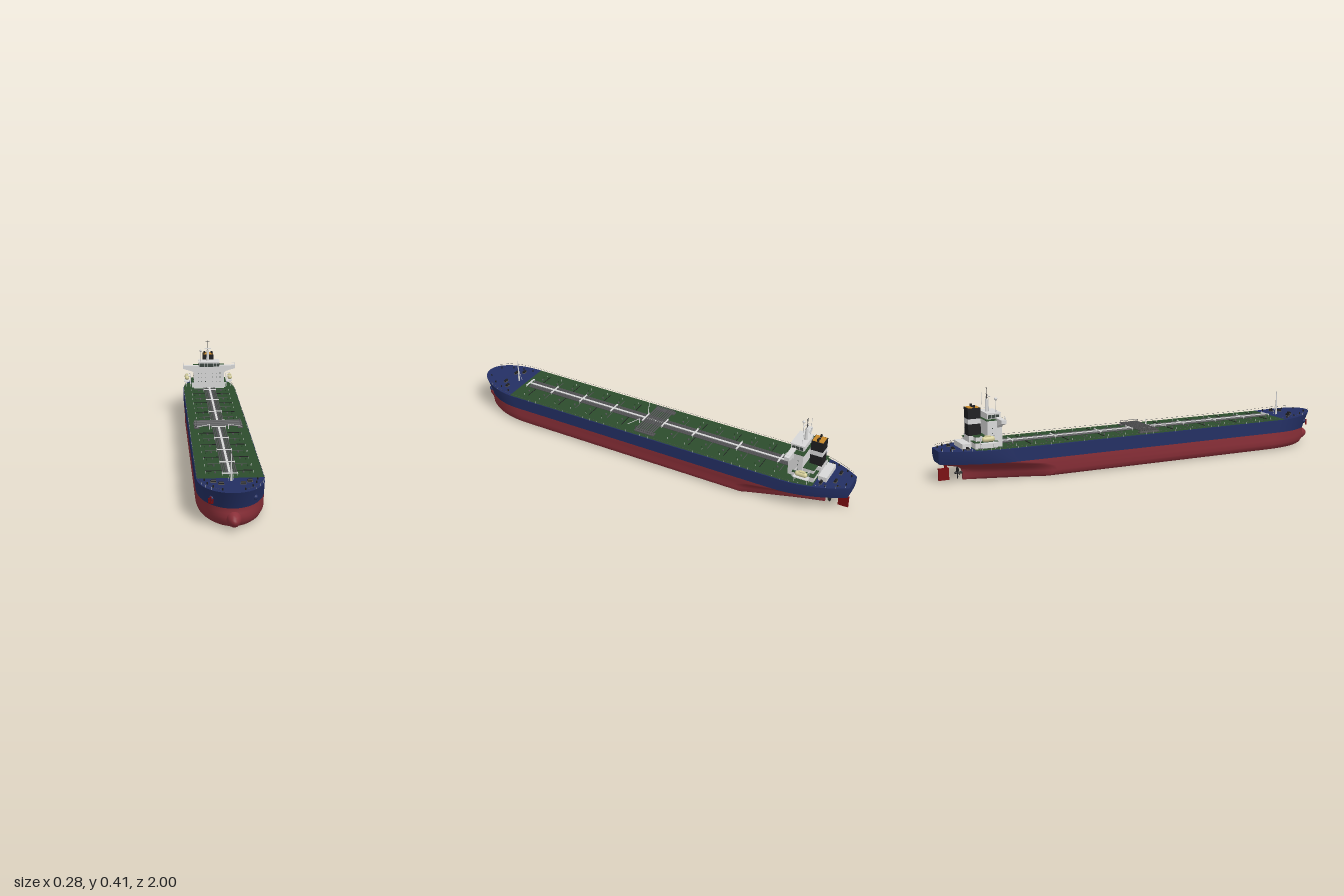
import * as THREE from 'three';
import { toCreasedNormals } from 'three/addons/utils/BufferGeometryUtils.js';

const mat = (name, color, side = THREE.FrontSide) => {
  const m = new THREE.MeshStandardMaterial({ color, side });
  m.name = name;
  return m;
};

export function createModel() {
  const ship = new THREE.Group();
  ship.name = 'tankerShip';
  const blue = mat('hullBlue', 0x232f63), red = mat('bottomRed', 0x8a2f38), green = mat('deckGreen', 0x2c4c2c);
  const white = mat('houseWhite', 0xd8d8d8), grey = mat('pipeGrey', 0x545456), black = mat('funnelBlack', 0x1e1e20);
  const cream = mat('boatCream', 0xd6cf9a), orange = mat('funnelOrange', 0xc98a2b);
  const rudderRed = mat('rudderRed', 0x7a0c10), glass = mat('windowGlass', 0x39443f);

  const add = (name, geo, m, parent = ship) => {
    const mesh = new THREE.Mesh(geo, m);
    mesh.name = name;
    parent.add(mesh);
    return mesh;
  };
  const group = (name) => { const g = new THREE.Group(); g.name = name; ship.add(g); return g; };
  // box given by its ranges in x, y and z
  const box = (name, m, x0, x1, y0, y1, z0, z1, parent) => {
    const b = add(name, new THREE.BoxGeometry(x1 - x0, y1 - y0, z1 - z0), m, parent);
    b.position.set((x0 + x1) / 2, (y0 + y1) / 2, (z0 + z1) / 2);
    return b;
  };
  // round bar between two points
  const rod = (name, m, a, b, r, parent, r2 = r, sides = 6) => {
    const p = new THREE.Vector3(...a), q = new THREE.Vector3(...b), d = q.clone().sub(p);
    const mesh = add(name, new THREE.CylinderGeometry(r2, r, d.length(), sides), m, parent);
    mesh.position.copy(p).add(q).multiplyScalar(0.5);
    mesh.quaternion.setFromUnitVectors(new THREE.Vector3(0, 1, 0), d.normalize());
    return mesh;
  };
  const ball = (name, m, r, x, y, z, parent, s = [1, 1, 1]) => {
    const b = add(name, new THREE.SphereGeometry(r, 20, 14), m, parent);
    b.position.set(x, y, z);
    b.scale.set(...s);
    return b;
  };

  // Waterlines: height, half beam, bow end, bow length, stern end, run length, run power, stern half width
  const level = (y, half, bow, entry, stern, run, power, end) => ({ y, half, bow, entry, stern, run, power, end });
  const bottom = [
    level(0, 0.112, 0.92, 0.27, -0.88, 0.36, 0.9, 0.003),
    level(0.004, 0.127, 0.933, 0.265, -0.88, 0.37, 0.95, 0.004),
    level(0.012, 0.136, 0.945, 0.26, -0.88, 0.38, 1, 0.005),
    level(0.03, 0.142, 0.957, 0.255, -0.88, 0.4, 1.1, 0.006),
    level(0.05, 0.142, 0.96, 0.25, -0.885, 0.4, 1.3, 0.008),
    level(0.066, 0.142, 0.958, 0.24, -0.91, 0.38, 1.6, 0.018),
    level(0.078, 0.142, 0.956, 0.23, -0.96, 0.36, 1.9, 0.032),
    level(0.088, 0.142, 0.957, 0.23, -0.995, 0.34, 2.1, 0.042)];
  const top = level(0.148, 0.142, 0.993, 0.24, -1, 0.31, 2.2, 0.05);
  const sides = [bottom[7], level(0.115, 0.142, 0.968, 0.23, -1, 0.32, 2.2, 0.047), top];
  const halfAt = (l, z) => {
    const s = (l.stern + l.run - z) / l.run, b = (z - l.bow + l.entry) / l.entry;
    if (s > 0) return l.end + (l.half - l.end) * (1 - Math.min(s, 1) ** l.power);
    return b > 0 ? l.half * Math.sqrt(Math.max(0, 1 - b * b)) : l.half;
  };
  const deckY = (z) => 0.148 + 0.018 * Math.max(0, (z - 0.7) / 0.29) ** 1.5;
  const n = 18;
  const outline = (l) => {
    const zs = [];
    for (let i = 0; i <= n; i++) zs.push(l.stern + l.run * i / n);
    for (let i = 0; i <= n; i++) zs.push(l.bow - l.entry + l.entry * Math.sin(i / n * Math.PI / 2));
    const port = zs.map((z) => [halfAt(l, z), l === top ? deckY(z) : l.y, z]);
    return [...port, ...port.map(([x, y, z]) => [-x, y, z]).reverse()];
  };
  const loft = (levels, capTop, capBottom) => {
    const loops = levels.map(outline), c = loops[0].length, index = [];
    for (let j = 0; j + 1 < loops.length; j++) for (let i = 0; i < c; i++) {
      const a = j * c + i, b = j * c + (i + 1) % c;
      index.push(a, a + c, b + c, a, b + c, b);
    }
    const cap = (base, up) => {
      for (let i = 0; i + 1 < c / 2; i++) {
        const p = base + i, q = base + c - 1 - i;
        if (up) index.push(q, q - 1, p + 1, q, p + 1, p);
        else index.push(q, p + 1, q - 1, q, p, p + 1);
      }
    };
    if (capTop) cap((loops.length - 1) * c, true);
    if (capBottom) cap(0, false);
    const g = new THREE.BufferGeometry();
    g.setAttribute('position', new THREE.Float32BufferAttribute(loops.flat(2), 3));
    g.setIndex(index);
    return toCreasedNormals(g, 0.7);
  };
  add('hullBottom', loft(bottom, false, true), red);
  add('hullSides', loft(sides, true, false), blue);
  ball('bulbousBow', red, 1, 0, 0.041, 0.9, ship, [0.036, 0.04, 0.1]);

  // Green main deck
  const edge = [];
  for (let i = 0; i <= 40; i++) { const z = -0.85 + 1.62 * i / 40; edge.push([halfAt(top, z) - 0.002, z]); }
  const deckShape = new THREE.Shape([...edge.map(([x, z]) => new THREE.Vector2(x, -z)),
    ...edge.map(([x, z]) => new THREE.Vector2(-x, -z)).reverse()]);
  add('mainDeck', new THREE.ShapeGeometry(deckShape).rotateX(-Math.PI / 2), green).position.y = 0.1508;

  // Railings along both sides
  const rails = group('railings');
  for (const s of [-1, 1]) for (let i = 0; i < 49; i++) {
    const at = (k) => { const z = -0.985 + k * 0.04; return [s * (halfAt(top, z) - 0.003), deckY(z), z]; };
    const [x, y, z] = at(i), e = at(i + 1);
    rod('railPost', white, [x, y, z], [x, y + 0.011, z], 0.0006, rails, 0.0006, 4);
    rod('handRail', grey, [x, y + 0.011, z], [e[0], e[1] + 0.011, e[2]], 0.0005, rails, 0.0005, 4);
  }

  // Pipes, catwalk and deck stiffeners
  const pipes = group('deckPipes');
  for (const x of [-0.029, -0.022, -0.015, 0.015, 0.022, 0.029]) rod('longPipe', grey, [x, 0.157, -0.7], [x, 0.157, 0.73], 0.0028, pipes);
  box('catwalk', white, -0.005, 0.005, 0.158, 0.161, -0.71, 0.74, pipes);
  box('pipeBed', grey, -0.012, 0.012, 0.151, 0.157, -0.7, 0.73, pipes);
  for (const z of [-0.65, -0.44, -0.21, -0.045, 0.06, 0.24, 0.42, 0.59, 0.74]) {
    box('catwalkCrossing', white, -0.034, 0.034, 0.16, 0.163, z - 0.004, z + 0.004, pipes);
    for (const x of [-0.033, 0.033]) rod('crossingLeg', white, [x, 0.15, z], [x, 0.168, z], 0.0012, pipes);
  }
  for (let i = 0; i < 16; i++) {
    const z = -0.68 + i * 0.091;
    if (Math.abs(z) < 0.07) continue;
    for (const s of [-1, 1]) {
      rod('branchPipe', i % 2 ? black : grey, [s * 0.03, 0.154, z], [s * (i % 2 ? 0.1 : 0.085), 0.154, z], 0.0017, pipes);
      rod('tankHatch', grey, [s * 0.06, 0.15, z + 0.02], [s * 0.06, 0.157, z + 0.02], 0.004, pipes, 0.004, 10);
      rod('ventPost', white, [s * 0.1, 0.15, z + 0.02], [s * 0.1, 0.16, z + 0.02], 0.0013, pipes);
      rod('valve', green, [s * 0.085, 0.15, z + 0.03], [s * 0.085, 0.158, z + 0.03], 0.0025, pipes);
    }
  }

  // Cargo manifold amidships
  const manifold = group('cargoManifold');
  for (let i = 0; i < 9; i++) {
    const z = -0.036 + i * 0.011;
    rod('crossPipe', grey, [-0.114, 0.163, z], [0.114, 0.163, z], 0.0034, manifold, 0.0034, 8);
  }
  for (const s of [-1, 1]) {
    const x = s * 0.105;
    box('dripTray', grey, x - 0.012, x + 0.012, 0.151, 0.156, -0.045, 0.06, manifold);
    for (const z of [-0.04, 0.058]) rod('manifoldPost', grey, [x, 0.15, z], [x, 0.174, z], 0.0015, manifold);
    rod('manifoldRail', grey, [x, 0.174, -0.04], [x, 0.174, 0.058], 0.0012, manifold);
    rod('cranePost', white, [s * 0.045, 0.15, 0.07], [s * 0.045, 0.176, 0.07], 0.003, manifold);
    rod('craneBoom', white, [s * 0.045, 0.175, 0.07], [s * 0.108, 0.172, 0.1], 0.0016, manifold);
  }

  // Accommodation with bridge wings
  const house = group('accommodation');
  const half = [[0.082, 0.148], [0.082, 0.238], [0.092, 0.247], [0.142, 0.263], [0.142, 0.279]];
  const front = new THREE.Shape([...half.map(([x, y]) => new THREE.Vector2(x, y)),
    ...half.map(([x, y]) => new THREE.Vector2(-x, y)).reverse()]);
  add('houseFrontAndWings', new THREE.ExtrudeGeometry(front, { depth: 0.024, bevelEnabled: false }), white, house).position.z = -0.741;
  const tier = (w, y0, y1, z0, z1) => {
    box('houseTier', white, -w, w, y0, y1, z0, z1, house);
    box('tierDeck', green, -w - 0.004, w + 0.004, y1, y1 + 0.002, z0 - 0.004, z1, house);
  };
  tier(0.082, 0.148, 0.27, -0.785, -0.741);
  tier(0.092, 0.148, 0.178, -0.845, -0.741);
  tier(0.07, 0.18, 0.2, -0.835, -0.785);
  box('aftHouse', white, -0.06, 0.06, 0.148, 0.172, -0.895, -0.855, house);
  box('bridge', white, -0.055, 0.055, 0.27, 0.298, -0.777, -0.714, house);
  box('bridgeRoof', white, -0.057, 0.057, 0.297, 0.3, -0.779, -0.711, house);
  for (let i = 0; i < 7; i++) { const x = -0.0465 + i * 0.0155; box('bridgeWindow', glass, x - 0.0068, x + 0.0068, 0.273, 0.291, -0.7145, -0.713, house); }
  for (const s of [-1, 1]) {
    for (let i = 0; i < 3; i++) box('sideWindow', glass, s * 0.055 - 0.001, s * 0.055 + 0.001, 0.275, 0.291, -0.735 - i * 0.018, -0.72 - i * 0.018, house);
    for (const x of [0.123, 0.141]) rod('wingPost', white, [s * x, 0.279, -0.72], [s * x, 0.292, -0.72], 0.0009, house);
    rod('wingRail', white, [s * 0.123, 0.292, -0.72], [s * 0.141, 0.292, -0.72], 0.0009, house);
    rod('wingRail', white, [s * 0.141, 0.292, -0.72], [s * 0.141, 0.292, -0.74], 0.0009, house);
    rod('whipAerial', white, [s * 0.05, 0.298, -0.765], [s * 0.05, 0.39, -0.765], 0.0008, house);
    for (const y of [0.19, 0.214, 0.236]) {
      for (const x of [0.02, 0.04, 0.06]) box('cabinWindow', glass, s * x - 0.0015, s * x + 0.0015, y - 0.002, y + 0.002, -0.718, -0.7165, house);
      box('cabinWindow', glass, s * 0.082 - 0.001, s * 0.082 + 0.001, y - 0.002, y + 0.002, -0.765, -0.76, house);
    }
  }

  // Radar mast and satellite dome
  const mast = group('radarMast');
  rod('mastPylon', white, [-0.005, 0.298, -0.76], [-0.005, 0.358, -0.76], 0.009, mast, 0.006, 10);
  rod('mastPole', grey, [-0.008, 0.35, -0.76], [-0.008, 0.41, -0.76], 0.0015, mast);
  for (const [y, w] of [[0.363, 0.018], [0.379, 0.012], [0.406, 0.012]]) rod('mastYard', grey, [-0.006 - w, y, -0.76], [-0.006 + w, y, -0.76], 0.001, mast);
  box('radarScanner', white, -0.022, 0.012, 0.366, 0.369, -0.75, -0.747, mast);
  rod('domePole', white, [-0.044, 0.298, -0.73], [-0.044, 0.355, -0.73], 0.0013, mast);
  ball('satelliteDome', white, 0.007, -0.044, 0.36, -0.73, mast);

  // Funnel casing in bands
  const funnel = group('funnel');
  for (const [m, y0, y1, w] of [[white, 0.148, 0.2, 0.034], [black, 0.2, 0.252, 0.027], [white, 0.252, 0.275, 0.029], [black, 0.275, 0.323, 0.028]])
    box('funnelBand', m, -w, w, y0, y1, -0.855, -0.797, funnel);
  box('funnelTop', orange, -0.025, 0.025, 0.323, 0.325, -0.852, -0.8, funnel);
  for (const x of [-0.02, 0, 0.02]) rod('exhaustPipe', black, [x, 0.32, -0.825], [x, x ? 0.335 : 0.33, -0.825], 0.0055, funnel, 0.0055, 12);

  // Lifeboats on davits
  const boats = group('lifeboats');
  for (const s of [-1, 1]) {
    const x = s * 0.119;
    add('lifeboat', new THREE.CapsuleGeometry(0.012, 0.035, 6, 14).rotateX(Math.PI / 2), cream, boats).position.set(x, 0.198, -0.795);
    box('boatCanopy', cream, x - 0.006, x + 0.006, 0.205, 0.213, -0.812, -0.785, boats);
    box('boatPlatform', white, x - 0.016, x + 0.012, 0.178, 0.181, -0.83, -0.76, boats);
    for (const z of [-0.825, -0.765]) {
      rod('davitLeg', white, [s * 0.1, 0.15, z], [s * 0.1, 0.21, z], 0.0018, boats);
      rod('davitArm', white, [s * 0.1, 0.21, z], [s * 0.124, 0.212, z], 0.0018, boats);
      rod('platformLeg', white, [s * 0.122, 0.15, z], [s * 0.122, 0.18, z], 0.0015, boats);
    }
  }

  // Foremast, winches and bollards
  const gear = group('mooringGear');
  rod('foremast', white, [0, 0.15, 0.81], [0, 0.27, 0.81], 0.005, gear, 0.0015, 8);
  for (const s of [-1, 1]) rod('foremastStay', white, [s * 0.012, 0.15, 0.8], [0, 0.22, 0.81], 0.001, gear);
  for (const s of [-1, 1]) {
    for (const [x, z] of [[0.045, 0.86], [0.075, 0.83], [0.035, -0.93], [0.075, -0.875]]) {
      const y = deckY(z);
      rod('winchDrum', black, [s * x - 0.01, y + 0.007, z], [s * x + 0.01, y + 0.007, z], 0.006, gear, 0.006, 12);
      box('winchBase', grey, s * x - 0.012, s * x + 0.012, y, y + 0.004, z - 0.007, z + 0.007, gear);
    }
    for (const [x, z] of [[0.11, 0.8], [0.1, 0.85], [0.08, 0.9], [0.045, 0.95], [0.09, -0.9], [0.065, -0.95], [0.035, -0.98]])
      rod('bollard', black, [s * x, deckY(z), z], [s * x, deckY(z) + 0.009, z], 0.003, gear, 0.003, 8);
    ball('anchorPocket', blue, 0.011, s * 0.087, 0.122, 0.922, gear);
  }
  const anchor = group('anchor');
  box('anchorShank', rudderRed, -0.003, 0.003, -0.012, 0.012, -0.003, 0.003, anchor);
  box('anchorCrown', rudderRed, -0.01, 0.01, -0.016, -0.009, -0.004, 0.004, anchor);
  for (const x of [-0.009, 0.009]) box('anchorFluke', rudderRed, x - 0.002, x + 0.002, -0.012, 0.004, -0.003, 0.003, anchor);
  anchor.position.set(-0.092, 0.119, 0.933);
  anchor.rotation.y = -0.6;

  // Rudder and propeller
  box('rudder', rudderRed, -0.005, 0.005, 0.006, 0.06, -0.99, -0.942, ship);
  rod('rudderStock', rudderRed, [0, 0.055, -0.955], [0, 0.095, -0.955], 0.007, ship, 0.007, 10);
  const propeller = group('propeller');
  rod('propellerHub', black, [0, 0, 0.03], [0, 0, -0.014], 0.006, propeller, 0.004, 12);
  for (let i = 0; i < 4; i++) {
    const arm = new THREE.Group();
    arm.name = 'propellerArm';
    arm.rotation.z = i * Math.PI / 2;
    ball('propellerBlade', black, 1, 0, 0.015, 0, arm, [0.008, 0.013, 0.0015]).rotation.y = 0.6;
    propeller.add(arm);
  }
  propeller.position.set(0, 0.033, -0.902);
  return ship;
}
